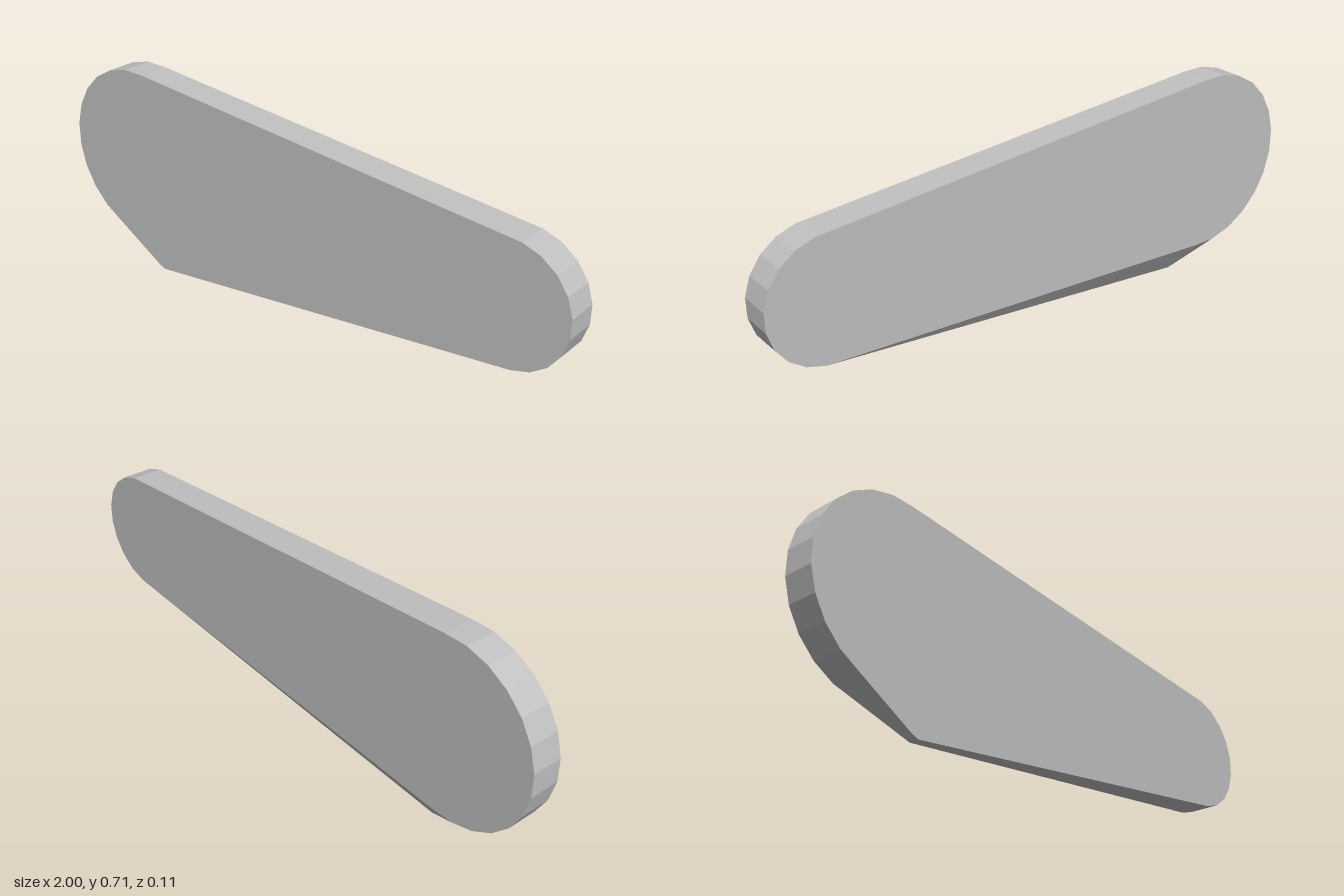
import * as THREE from 'three';
import { ConvexGeometry } from 'three/addons/geometries/ConvexGeometry.js';

export function createModel() {
  const group = new THREE.Group();
  group.name = 'taperedArm';
  const grey = new THREE.MeshStandardMaterial({ color: 0xc0c0c0 });
  grey.name = 'plain grey';

  const half = 0.053;
  const points = [];

  // Rounded end through the full thickness
  function roundEnd(cx, cy, radius, sides) {
    for (let i = 0; i < sides; i++) {
      const a = ((i + 0.5) / sides) * Math.PI * 2;
      const x = cx + radius * Math.cos(a), y = cy + radius * Math.sin(a);
      points.push(new THREE.Vector3(x, y, half), new THREE.Vector3(x, y, -half));
    }
  }
  roundEnd(-0.693, 0.406, 0.31, 24);
  roundEnd(0.796, 0.406, 0.207, 20);

  // Lower corner, thinner than the body so the back is bevelled
  for (const [x, y] of [[-0.615, 0.009], [-0.59, 0]]) {
    points.push(new THREE.Vector3(x, y, half), new THREE.Vector3(x, y, 0.019));
  }

  const body = new THREE.Mesh(new ConvexGeometry(points), grey);
  body.name = 'armPlate';
  group.add(body);
  return group;
}
